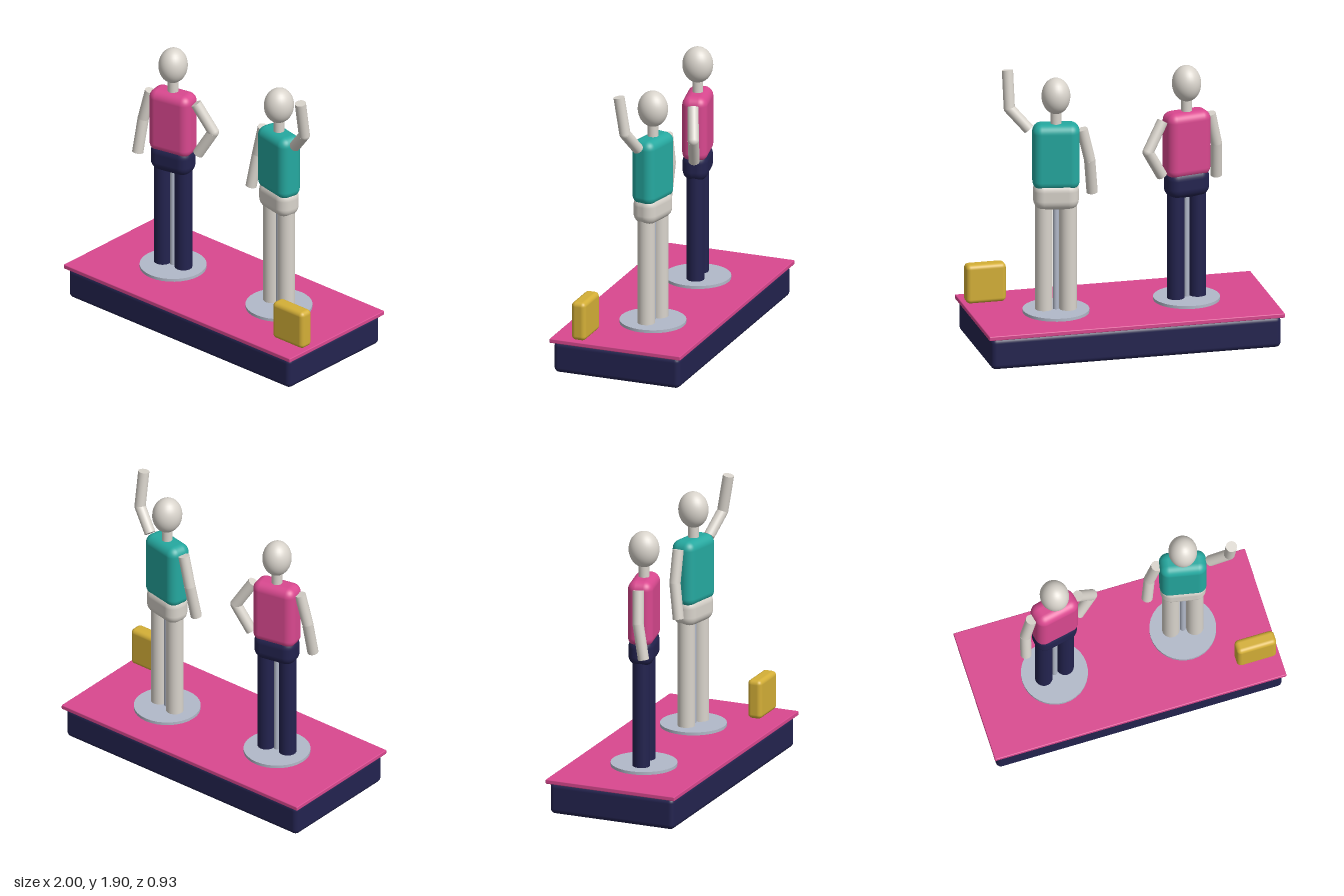
import * as THREE from 'three';
import { RoundedBoxGeometry } from 'three/addons/geometries/RoundedBoxGeometry.js';

const paint = (name, color) => {
  const m = new THREE.MeshStandardMaterial({ color });
  m.name = name;
  return m;
};

export function createModel() {
  const pink = paint('pink', 0xd9488f);
  const navy = paint('navy', 0x23234f);
  const teal = paint('teal', 0x25a9a0);
  const ivory = paint('ivory', 0xd9d4cc);
  const steel = paint('blue grey', 0xb2b9c9);
  const gold = paint('gold', 0xd4af37);

  const add = (parent, name, geometry, material, x = 0, y = 0, z = 0) => {
    const mesh = new THREE.Mesh(geometry, material);
    mesh.name = name;
    mesh.position.set(x, y, z);
    parent.add(mesh);
    return mesh;
  };
  const post = (r, h) => new THREE.CylinderGeometry(r, r, h, 24);

  // Straight limb segment between two points
  const limb = (parent, name, a, b, r, material) => {
    const dir = b.clone().sub(a);
    const mesh = add(parent, name, post(r, dir.length()), material);
    mesh.position.copy(a).addScaledVector(dir, 0.5);
    mesh.quaternion.setFromUnitVectors(new THREE.Vector3(0, 1, 0), dir.normalize());
  };

  const arm = (parent, name, points) => {
    const group = new THREE.Group();
    group.name = name;
    const [shoulder, elbow, hand] = points.map(p => new THREE.Vector3(...p));
    const r = 0.037;
    limb(group, 'upperArm', shoulder, elbow, r, ivory);
    limb(group, 'forearm', elbow, hand, r, ivory);
    add(group, 'elbow', new THREE.SphereGeometry(r, 20, 14), ivory, ...elbow.toArray());
    parent.add(group);
  };

  const mannequin = (name, x, z, turn, top, bottom, leftArm) => {
    const g = new THREE.Group();
    g.name = name;
    g.position.set(x, 0, z);
    g.rotation.y = turn;

    // Stand
    add(g, 'standDisc', new THREE.CylinderGeometry(0.22, 0.22, 0.02, 32), steel, 0, 0.25, 0);
    add(g, 'standRod', post(0.02, 0.76), steel, 0, 0.64, 0);

    // Legs, hips and torso
    for (const s of [-1, 1]) {
      add(g, s > 0 ? 'leftLeg' : 'rightLeg', post(0.058, 0.76), bottom, s * 0.079, 0.64, 0);
    }
    add(g, 'hips', new RoundedBoxGeometry(0.3, 0.2, 0.17, 5, 0.07), bottom, 0, 1.05, 0);
    add(g, 'torso', new RoundedBoxGeometry(0.31, 0.45, 0.17, 5, 0.06), top, 0, 1.315, 0);

    // Neck and head
    add(g, 'neck', post(0.036, 0.14), ivory, 0, 1.58, 0);
    add(g, 'head', new THREE.SphereGeometry(1, 32, 20), ivory, 0, 1.727, 0).scale.set(0.095, 0.122, 0.102);

    // Arms
    arm(g, 'rightArm', [[-0.172, 1.495, 0], [-0.222, 1.28, 0.01], [-0.24, 1.045, 0.05]]);
    arm(g, 'leftArm', leftArm);
    return g;
  };

  const model = new THREE.Group();
  model.name = 'mannequinDisplay';

  // Platform
  add(model, 'platformBase', new RoundedBoxGeometry(1.96, 0.215, 0.89, 4, 0.035), navy, 0, 0.1075, 0);
  add(model, 'platformTop', new RoundedBoxGeometry(2, 0.03, 0.925, 2, 0.006), pink, 0, 0.225, 0);

  // Gold display block
  add(model, 'displayBlock', new RoundedBoxGeometry(0.27, 0.265, 0.1, 4, 0.03), gold, 0.845, 0.375, 0.27);

  model.add(
    mannequin('handOnHipMannequin', -0.45, 0, 0.2, pink, navy,
      [[0.174, 1.49, 0], [0.292, 1.3, -0.025], [0.185, 1.12, -0.01]]),
    mannequin('wavingMannequin', 0.445, -0.045, -0.2, teal, ivory,
      [[0.178, 1.5, 0], [0.305, 1.64, 0.018], [0.315, 1.89, 0.058]]),
  );
  return model;
}
